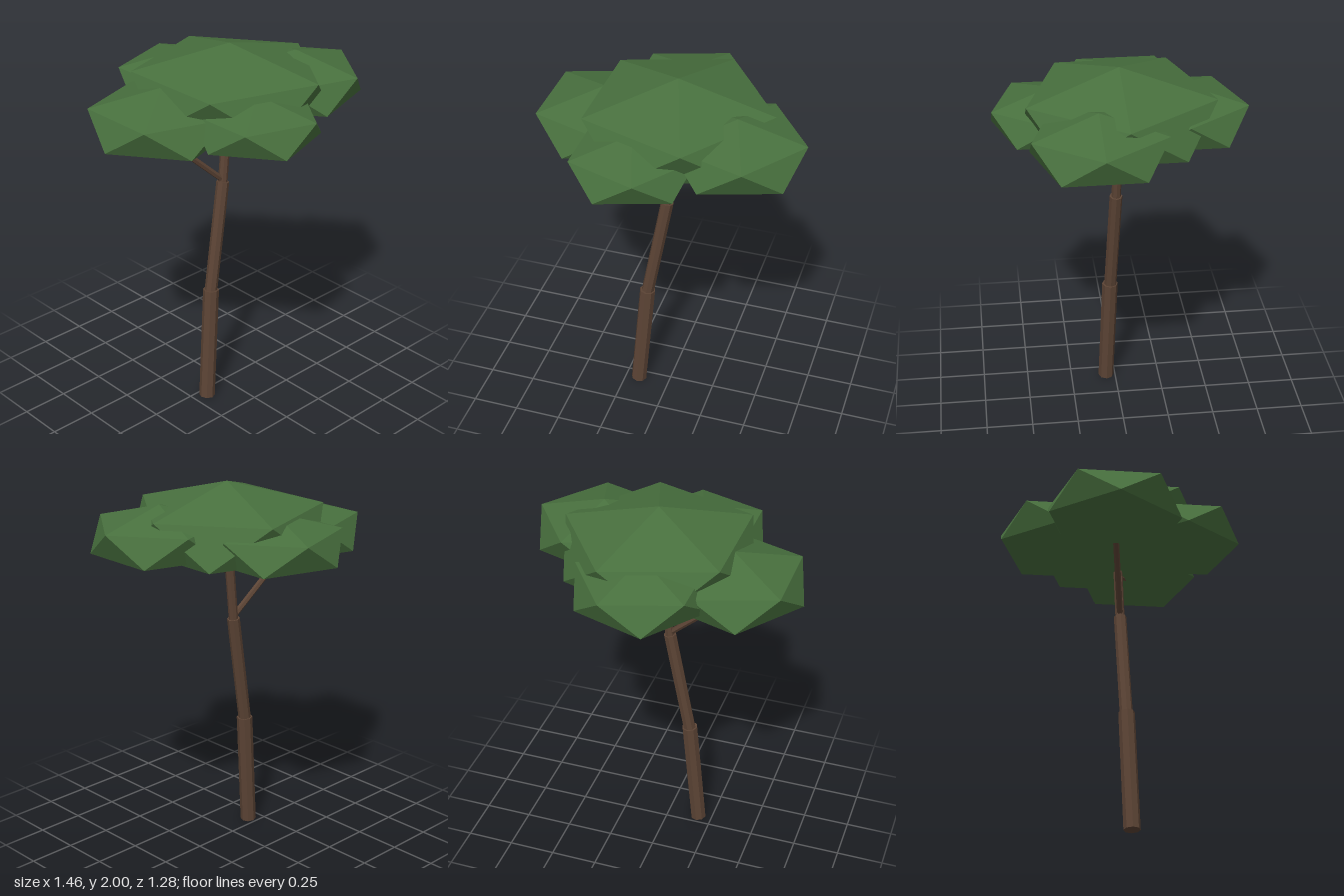
import * as THREE from 'three';

const bark = new THREE.MeshStandardMaterial({ name: 'bark brown', color: 0x5c4435, flatShading: true });
const leaf = new THREE.MeshStandardMaterial({ name: 'leaf green', color: 0x48703e, flatShading: true });

// Straight limb between two points
function limb(name, from, to, radius, sides) {
  const a = new THREE.Vector3(...from);
  const b = new THREE.Vector3(...to);
  const dir = b.clone().sub(a);
  const mesh = new THREE.Mesh(new THREE.CylinderGeometry(radius, radius, dir.length(), sides), bark);
  mesh.name = name;
  mesh.position.copy(a).add(b).multiplyScalar(0.5);
  mesh.quaternion.setFromUnitVectors(new THREE.Vector3(0, 1, 0), dir.normalize());
  return mesh;
}

// Flattened icosahedron standing on a vertex, with an upper-ring corner toward +x
function foliage(name, center, radius, halfHeight) {
  const geometry = new THREE.IcosahedronGeometry(1, 0);
  geometry.rotateZ(-Math.atan(2 / (1 + Math.sqrt(5))));
  geometry.scale(radius, halfHeight, radius);
  const mesh = new THREE.Mesh(geometry, leaf);
  mesh.name = name;
  mesh.position.set(...center);
  return mesh;
}

export function createModel() {
  const tree = new THREE.Group();
  tree.name = 'tree';

  // Leaning trunk in three stepped sections
  const trunk = new THREE.Group();
  trunk.name = 'trunk';
  trunk.add(
    limb('lowerTrunk', [-0.174, 0.004, 0.052], [-0.122, 0.65, 0.032], 0.043, 8),
    limb('middleTrunk', [-0.124, 0.63, 0.031], [-0.015, 1.25, 0.01], 0.034, 8),
    limb('upperTrunk', [-0.017, 1.23, 0.01], [0.028, 1.62, 0], 0.025, 8)
  );

  // Side branches reaching into the outer leaf clumps
  const branches = new THREE.Group();
  branches.name = 'branches';
  branches.add(
    limb('rightBranch', [-0.015, 1.26, 0.01], [-0.365, 1.585, -0.05], 0.016, 6),
    limb('leftBranch', [0.015, 1.515, 0.005], [0.33, 1.66, 0.12], 0.014, 6)
  );

  // Canopy of overlapping clumps
  const canopy = new THREE.Group();
  canopy.name = 'canopy';
  canopy.add(
    foliage('crownClump', [0.04, 1.765, 0], 0.557, 0.235),
    foliage('rightClump', [-0.365, 1.685, -0.058], 0.408, 0.168),
    foliage('leftClump', [0.38, 1.748, 0.135], 0.39, 0.165),
    foliage('frontClump', [-0.09, 1.705, 0.333], 0.361, 0.15),
    foliage('backClump', [0.02, 1.727, -0.315], 0.387, 0.162)
  );

  tree.add(trunk, branches, canopy);
  return tree;
}
